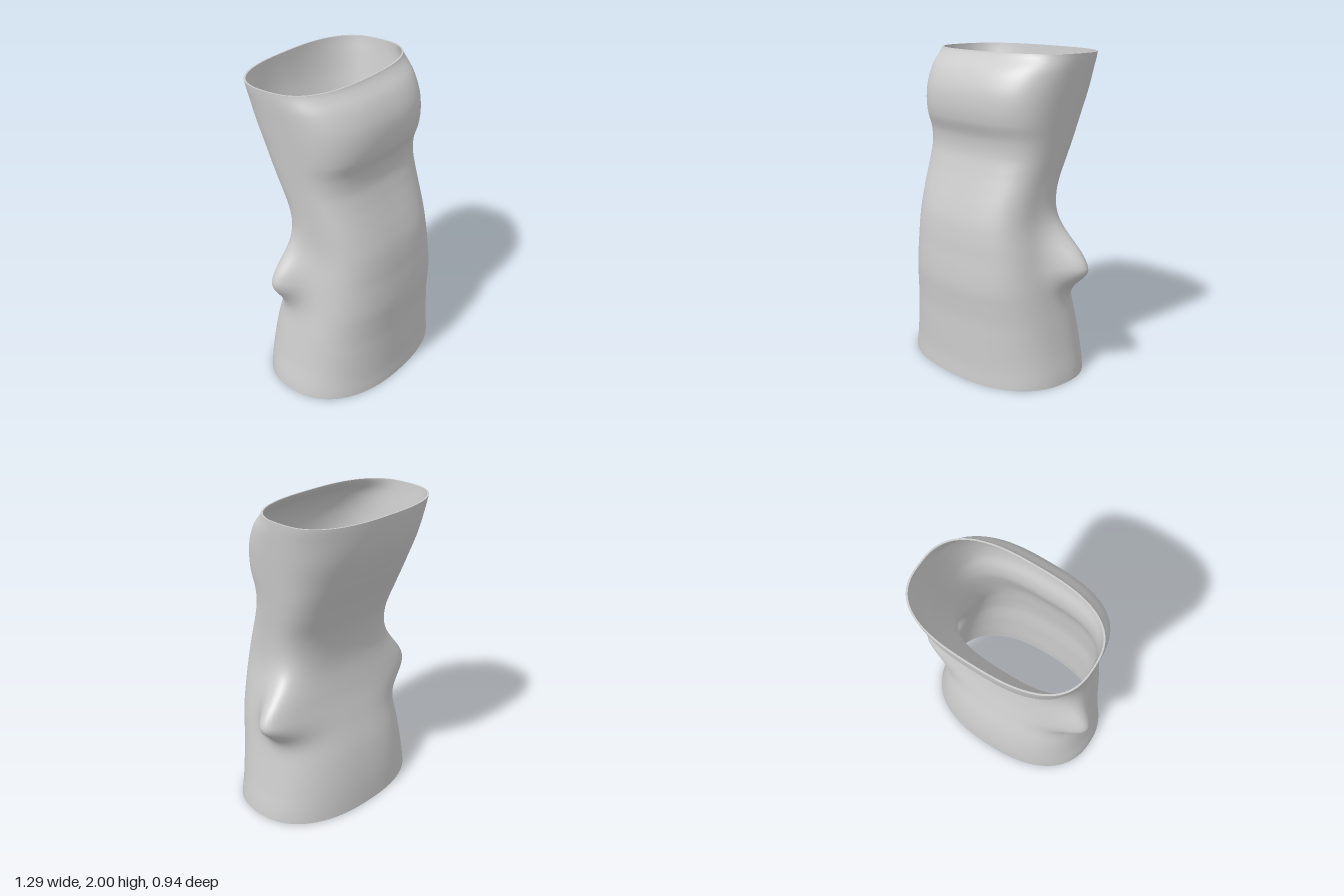
import * as THREE from 'three';
import { ParametricGeometry } from 'three/addons/geometries/ParametricGeometry.js';

const HEIGHT = 2;
const WALL = 0.01;

// Smooth curve through values evenly spaced from the bottom hem to the top rim
function profile(values) {
  const curve = new THREE.SplineCurve(values.map((v, i) => new THREE.Vector2(i, v)));
  return (t) => curve.getPoint(t).y;
}

const front = profile([0.47, 0.465, 0.465, 0.465, 0.465, 0.47, 0.475, 0.47, 0.46, 0.45, 0.433,
  0.403, 0.367, 0.332, 0.306, 0.31, 0.343, 0.352, 0.336, 0.285, 0.195]);
const back = profile([-0.385, -0.37, -0.33, -0.265, -0.205, -0.17, -0.19, -0.265, -0.355, -0.435, -0.47]);
const leftEdge = profile([0.605, 0.57, 0.537, 0.503, 0.465, 0.432, 0.435, 0.455, 0.48, 0.505, 0.524]);
const rightEdge = profile([-0.637, -0.6, -0.567, -0.532, -0.505, -0.485, -0.492, -0.508, -0.53, -0.553, -0.574]);
const squareness = profile([2.35, 2.5, 2.7, 2.9, 2.9, 2.7]);

// Side bulges: sharp below the peak, long slope above it
const bulges = [
  { side: 1, y: 0.73, z: -0.12, amount: 0.235, above: 0.165, below: 0.096 },
  { side: -1, y: 0.78, z: -0.14, amount: 0.2, above: 0.16, below: 0.11 },
];
const bell = (d, width) => Math.exp(-0.5 * (d / width) ** 2);

// Point on the wall at angle a and height fraction t, moved inwards by inset
function wallPoint(a, t, inset, target) {
  const y = t * HEIGHT;
  const n = squareness(t);
  const c = Math.cos(a);
  const s = -Math.sin(a);
  const r = (Math.abs(c) ** n + Math.abs(s) ** n) ** (-1 / n);
  const halfX = (leftEdge(t) - rightEdge(t)) / 2;
  const halfZ = (front(t) - back(t)) / 2;
  const midZ = (front(t) + back(t)) / 2;
  let x = (halfX - inset) * c * r;
  for (const b of bulges) {
    const towardsSide = THREE.MathUtils.smoothstep(x * b.side, 0.05, 0.4);
    const dy = y - b.y;
    const rise = bell(dy, dy > 0 ? b.above : b.below) * bell(midZ + halfZ * s * r - b.z, 0.11);
    x += b.side * b.amount * rise * towardsSide;
  }
  target.set(x + (leftEdge(t) + rightEdge(t)) / 2, y, midZ + (halfZ - inset) * s * r);
}

export function createModel() {
  const group = new THREE.Group();
  group.name = 'fittedSleeve';
  const material = new THREE.MeshStandardMaterial({ color: 0xcccccc, side: THREE.DoubleSide });
  const TURN = Math.PI * 2;

  function add(name, rows, surface) {
    const mesh = new THREE.Mesh(new ParametricGeometry(surface, 144, rows), material);
    mesh.name = name;
    group.add(mesh);
  }

  // Outer wall and lining
  add('outerWall', 110, (u, v, p) => wallPoint(u * TURN, v, 0, p));
  add('lining', 110, (u, v, p) => wallPoint(-u * TURN, v, WALL, p));

  // Narrow rims joining the two walls
  add('topRim', 1, (u, v, p) => wallPoint(u * TURN, 1, v * WALL, p));
  add('bottomRim', 1, (u, v, p) => wallPoint(u * TURN, 0, (1 - v) * WALL, p));

  return group;
}
